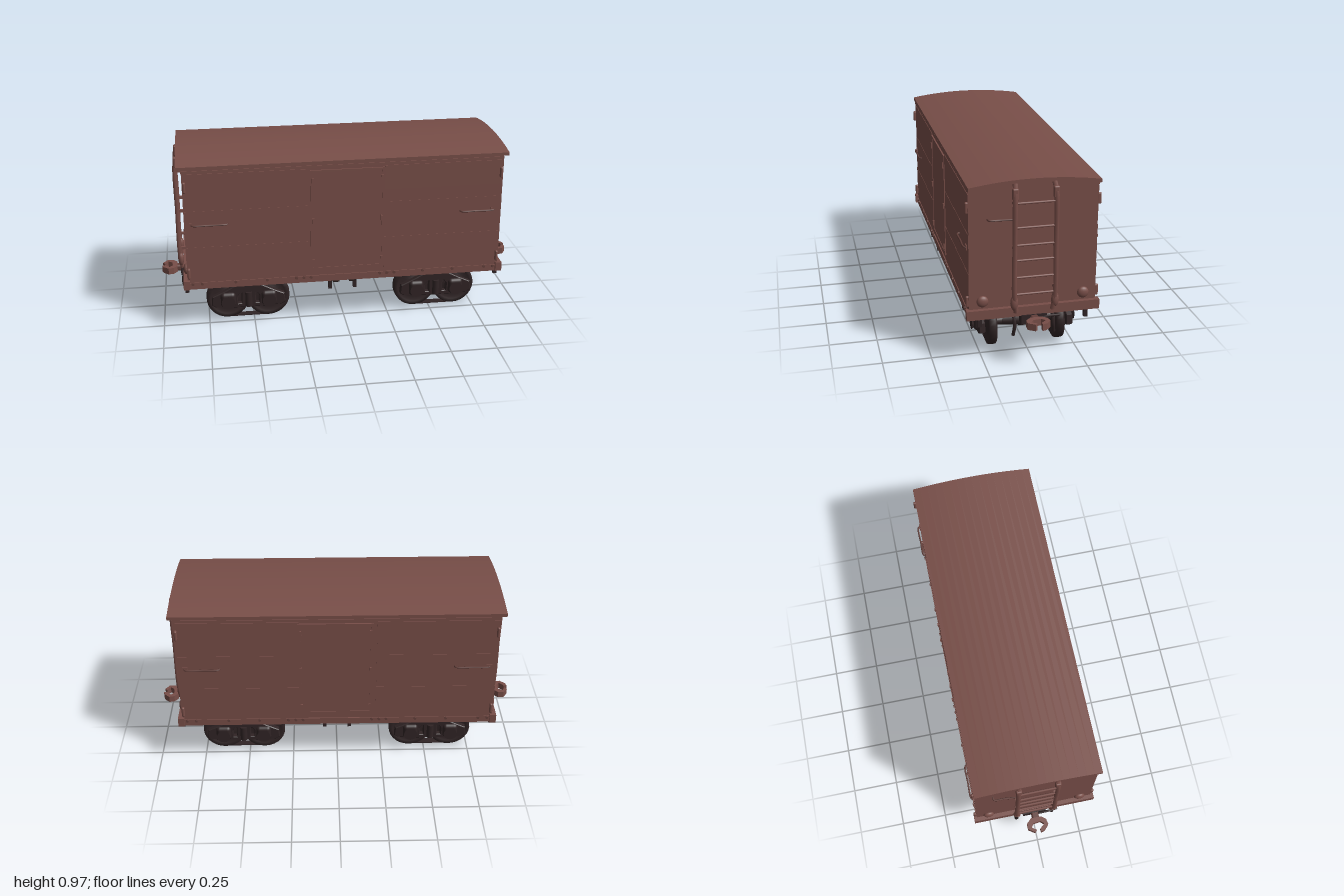
import * as THREE from 'three';
import { RoundedBoxGeometry } from 'three/addons/geometries/RoundedBoxGeometry.js';

const paint = (name, color) => {
  const m = new THREE.MeshStandardMaterial({ color });
  m.name = name;
  return m;
};
const vec = pts => pts.map(p => new THREE.Vector2(...p));

export function createModel() {
  const oxide = paint('oxide red', 0x784e48);
  const shade = paint('dark oxide trim', 0x63403b);
  const iron = paint('black iron', 0x302425);
  const under = paint('underframe', 0x241a1a);
  const root = new THREE.Group();
  root.name = 'boxcar';

  const add = (parent, name, geo, mat, x = 0, y = 0, z = 0) => {
    const m = new THREE.Mesh(geo, mat);
    m.name = name;
    m.position.set(x, y, z);
    parent.add(m);
    return m;
  };
  const box = (p, name, mat, w, h, d, x, y, z) => add(p, name, new THREE.BoxGeometry(w, h, d), mat, x, y, z);
  const rod = (p, name, mat, r, pts) => {
    const path = new THREE.CatmullRomCurve3(pts.map(a => new THREE.Vector3(...a)), false, 'centripetal');
    return add(p, name, new THREE.TubeGeometry(path, pts.length * 5, r, 6), mat);
  };
  const barrel = (p, name, mat, r1, r2, len, axis, x, y, z, n = 20) => {
    const g = new THREE.CylinderGeometry(r1, r2, len, n);
    if (axis === 'z') g.rotateX(Math.PI / 2);
    if (axis === 'x') g.rotateZ(-Math.PI / 2);
    return add(p, name, g, mat, x, y, z);
  };
  // Section drawn in (z, y), extruded along x
  const alongX = (shape, len) => {
    const g = new THREE.ExtrudeGeometry(shape, { depth: len, bevelEnabled: false, curveSegments: 16 });
    return g.translate(0, 0, -len / 2).rotateY(Math.PI / 2);
  };

  // Body with arched top
  const section = new THREE.Shape();
  section.moveTo(-0.322, 0.28);
  section.lineTo(0.322, 0.28);
  section.lineTo(0.322, 0.935);
  section.quadraticCurveTo(0, 0.99, -0.322, 0.935);
  add(root, 'body', alongX(section, 1.715), oxide);

  // Roof sheet overhanging the ends and eaves
  const roof = new THREE.Shape();
  roof.moveTo(-0.329, 0.928);
  roof.lineTo(-0.318, 0.928);
  roof.quadraticCurveTo(0, 0.984, 0.318, 0.928);
  roof.lineTo(0.329, 0.928);
  roof.lineTo(0.329, 0.945);
  roof.quadraticCurveTo(0, 1.0, -0.329, 0.945);
  add(root, 'roof', alongX(roof, 1.77), oxide);

  // Recessed floor with beams, framed by the sills
  box(root, 'floor', under, 1.70, 0.008, 0.635, 0, 0.276, 0);
  for (const s of [-1, 1]) {
    box(root, 'sideSill', oxide, 1.72, 0.038, 0.014, 0, 0.269, s * 0.321);
    box(root, 'endSill', oxide, 0.035, 0.05, 0.68, s * 0.862, 0.278, 0);
    box(root, 'eaveStrip', oxide, 1.72, 0.012, 0.006, 0, 0.916, s * 0.323);
    for (const z of [0.09, 0.2]) box(root, 'longBeam', under, 1.68, 0.025, 0.035, 0, 0.262, s * z);
  }

  // Side planks, doors, grab rails and bolts on each long side
  for (const s of [1, -1]) {
    const side = new THREE.Group();
    side.name = s > 0 ? 'frontSide' : 'backSide';
    for (let i = 0; i < 9; i++) {
      const t = 0.002 + (i * 7 % 3) * 0.0008;
      for (const k of [-1, 1])
        box(side, 'plank', oxide, 0.648, 0.0685, t, k * 0.531 + 0.003, 0.322 + i * 0.0685, 0.322 + t / 2);
    }
    box(side, 'door', oxide, 0.385, 0.565, 0.006, 0.01 * s, 0.61, 0.324);
    for (const k of [-1, 1]) {
      box(side, 'doorPost', oxide, 0.014, 0.565, 0.01, k * 0.193 + 0.01 * s, 0.61, 0.325);
      box(side, 'doorRail', oxide, 0.40, 0.012, 0.01, 0.01 * s, 0.61 + k * 0.28, 0.325);
      rod(side, 'grabRail', shade, 0.005, [[k * 0.82, 0.622, 0.322], [k * 0.815, 0.622, 0.336],
        [k * 0.72, 0.622, 0.339], [k * 0.635, 0.622, 0.336], [k * 0.63, 0.622, 0.322]]);
      box(side, 'railPlate', oxide, 0.03, 0.024, 0.008, k * 0.815, 0.622, 0.326);
      for (const x of [0.19, 0.23, 0.27, 0.43, 0.6, 0.78, 0.83])
        barrel(side, 'sillBolt', shade, 0.008, 0.009, 0.01, 'z', k * x, 0.28, 0.328, 8);
      for (const y of [0.37, 0.61, 0.84]) box(side, 'doorHinge', oxide, 0.012, 0.03, 0.01, k * 0.186 + 0.01 * s, y, 0.331);
      for (const y of [0.345, 0.835]) add(side, 'cornerBracket',
        new RoundedBoxGeometry(0.016, 0.06, 0.022, 2, 0.007), oxide, k * 0.847, y, 0.329);
      // Stub hanging below the corner
      box(side, 'step', iron, 0.02, 0.045, 0.02, k * 0.862, 0.232, 0.272);
    }
    if (s < 0) side.rotation.y = Math.PI;
    root.add(side);
  }

  // One end: ladder, studs, handle and coupler, built toward +x
  const makeEnd = () => {
    const end = new THREE.Group();
    end.name = 'carEnd';
    for (const s of [-1, 1]) {
      rod(end, 'ladderStile', oxide, 0.013, [[0.868, 0.945, s * 0.097], [0.888, 0.91, s * 0.101],
        [0.894, 0.62, s * 0.103], [0.894, 0.36, s * 0.103], [0.884, 0.28, s * 0.093]]);
      add(end, 'stileFoot', new THREE.SphereGeometry(0.02, 12, 8), oxide, 0.89, 0.335, s * 0.104).scale.set(0.8, 2, 1);
      add(end, 'stileHead', new RoundedBoxGeometry(0.024, 0.06, 0.03, 2, 0.007), oxide, 0.888, 0.9, s * 0.101);
      for (const y of [0.4, 0.62, 0.85]) box(end, 'stileBracket', oxide, 0.035, 0.014, 0.014, 0.872, y, s * 0.103);
      add(end, 'cornerStud', new THREE.SphereGeometry(0.03, 14, 10), oxide, 0.86, 0.343, s * 0.257).scale.x = 0.55;
      rod(end, 'brakeHose', iron, 0.009, [[0.85, 0.25, s * 0.1], [0.875, 0.24, s * 0.1], [0.885, 0.2, s * 0.1], [0.875, 0.15, s * 0.105]]);
    }
    for (const y of [0.38, 0.47, 0.56, 0.64, 0.73, 0.855])
      barrel(end, 'ladderRung', oxide, 0.006, 0.006, 0.2, 'z', 0.894, y, 0, 8);
    rod(end, 'endHandle', shade, 0.005, [[0.856, 0.772, 0.23], [0.876, 0.772, 0.226], [0.88, 0.772, 0.17], [0.888, 0.772, 0.1]]);

    // Coupler with a hooked, open knuckle
    box(end, 'couplerPocket', iron, 0.05, 0.05, 0.13, 0.86, 0.232, 0);
    add(end, 'couplerShank', new RoundedBoxGeometry(0.09, 0.035, 0.04, 2, 0.01), shade, 0.895, 0.238, 0);
    const jaw = new THREE.Shape(vec([[0.915, -0.028], [0.94, -0.055], [0.972, -0.055], [0.996, -0.02], [0.984, -0.008],
      [0.966, -0.035], [0.945, -0.02], [0.94, 0.02], [0.958, 0.04], [0.982, 0.012], [1.0, 0.015],
      [0.992, 0.038], [0.964, 0.062], [0.935, 0.055], [0.915, 0.03]]));
    add(end, 'couplerKnuckle', new THREE.ExtrudeGeometry(jaw, { depth: 0.036, bevelEnabled: false })
      .rotateX(-Math.PI / 2), oxide, 0, 0.222, 0);
    rod(end, 'couplerLever', iron, 0.006, [[0.89, 0.235, -0.02], [0.89, 0.245, -0.08], [0.885, 0.242, -0.13]]);
    return end;
  };
  const rightEnd = makeEnd();
  rightEnd.rotation.y = Math.PI;
  root.add(makeEnd(), rightEnd);

  // Wheel profile: dished disc with a flat tread
  const wheelGeo = new THREE.LatheGeometry(vec([[0, -0.03], [0.035, -0.028], [0.05, -0.012], [0.09, -0.01], [0.097, -0.02],
    [0.119, -0.02], [0.12, -0.01], [0.118, 0.018], [0.097, 0.02], [0.09, 0.01], [0.05, 0.012],
    [0.035, 0.028], [0, 0.03]]), 28).rotateX(Math.PI / 2);

  // Side frame with two openings beside the bolster
  const frame = new THREE.Shape(vec([[-0.2, 0.105], [-0.18, 0.092], [-0.08, 0.086], [0.08, 0.086],
    [0.18, 0.092], [0.2, 0.105], [0.195, 0.15], [0.13, 0.18], [0.07, 0.212], [-0.07, 0.212], [-0.13, 0.18],
    [-0.195, 0.15]]));
  for (const s of [-1, 1])
    frame.holes.push(new THREE.Path(vec([[0.035, 0.102], [0.062, 0.102], [0.066, 0.15], [0.05, 0.172], [0.035, 0.172]]
      .map(([x, y]) => [s * x, y]))));
  const frameGeo = new THREE.ExtrudeGeometry(frame, { depth: 0.025, bevelEnabled: true, bevelSize: 0.004,
    bevelThickness: 0.004, bevelSegments: 1 }).translate(0, 0, -0.0125);

  // Bogies
  const makeBogie = x => {
    const b = new THREE.Group();
    b.name = 'bogie';
    b.position.x = x;
    for (const ax of [-0.113, 0.113]) {
      barrel(b, 'axle', iron, 0.024, 0.024, 0.48, 'z', ax, 0.12, 0);
      for (const s of [-1, 1]) {
        add(b, 'wheel', wheelGeo, iron, ax, 0.12, s * 0.178);
        barrel(b, 'axleCollar', iron, s > 0 ? 0.028 : 0.042, s > 0 ? 0.042 : 0.028, 0.11, 'z', ax, 0.124, s * 0.055, 16);
        add(b, 'journalBox', new RoundedBoxGeometry(0.085, 0.09, 0.055, 3, 0.022), iron, ax, 0.133, s * 0.238);
        barrel(b, 'journalCap', iron, s > 0 ? 0.038 : 0.026, s > 0 ? 0.026 : 0.038, 0.014, 'z', ax, 0.125, s * 0.267, 16);
      }
    }
    for (const s of [-1, 1]) {
      add(b, 'sideFrame', frameGeo, iron, 0, 0, s * 0.232);
      barrel(b, 'spring', iron, 0.02, 0.02, 0.085, 'y', 0, 0.132, s * 0.245, 12);
      box(b, 'topPlate', iron, 0.3, 0.018, 0.04, 0, 0.226, s * 0.215);
      // Flat shoe bar joining the wheel bottoms
      box(b, 'shoeBar', iron, 0.226, 0.006, 0.036, 0, 0.006, s * 0.178);
      box(b, 'brakeBeam', iron, 0.02, 0.035, 0.22, s * 0.06, 0.115, 0);
      for (const k of [-1, 1])
        rod(b, 'brakeHanger', iron, 0.008, [[k * 0.04, 0.2, s * 0.1], [k * 0.05, 0.16, s * 0.105], [k * 0.055, 0.105, s * 0.105]]);
    }
    add(b, 'bolster', new RoundedBoxGeometry(0.08, 0.075, 0.45, 2, 0.015), iron, 0, 0.182, 0);
    add(b, 'bolsterBelly', new THREE.SphereGeometry(0.06, 16, 10), iron, 0, 0.14, 0);
    barrel(b, 'centrePlate', iron, 0.06, 0.06, 0.05, 'y', 0, 0.235, 0);
    box(b, 'bodyBolster', under, 0.3, 0.035, 0.4, 0, 0.24, 0);
    return b;
  };
  root.add(makeBogie(-0.53), makeBogie(0.53));

  // Centre sill, brake gear and bent pipes
  const gear = new THREE.Group();
  gear.name = 'underGear';
  box(gear, 'centreSill', under, 1.66, 0.025, 0.09, 0, 0.261, 0);
  for (const s of [-1, 1]) {
    box(gear, 'crossBeam', under, 0.035, 0.045, 0.56, s * 0.045, 0.24, 0);
    for (const z of [-0.2, 0.2]) box(gear, 'queenPost', iron, 0.018, 0.09, 0.03, s * 0.07, 0.19, z);
    box(gear, 'draftGear', under, 0.12, 0.03, 0.1, s * 0.79, 0.238, 0);
    for (const z of [-0.11, 0.11])
      rod(gear, 'brakePipe', iron, 0.013, [[s * 0.245, 0.255, z], [s * 0.265, 0.238, z], [s * 0.275, 0.175, z],
        [s * 0.315, 0.158, z], [s * 0.41, 0.15, z * 0.9]]);
  }
  barrel(gear, 'brakeCylinder', iron, 0.032, 0.032, 0.12, 'x', 0, 0.215, 0.12);
  barrel(gear, 'airTank', iron, 0.03, 0.03, 0.13, 'x', 0, 0.22, -0.12);
  root.add(gear);

  return root;
}
